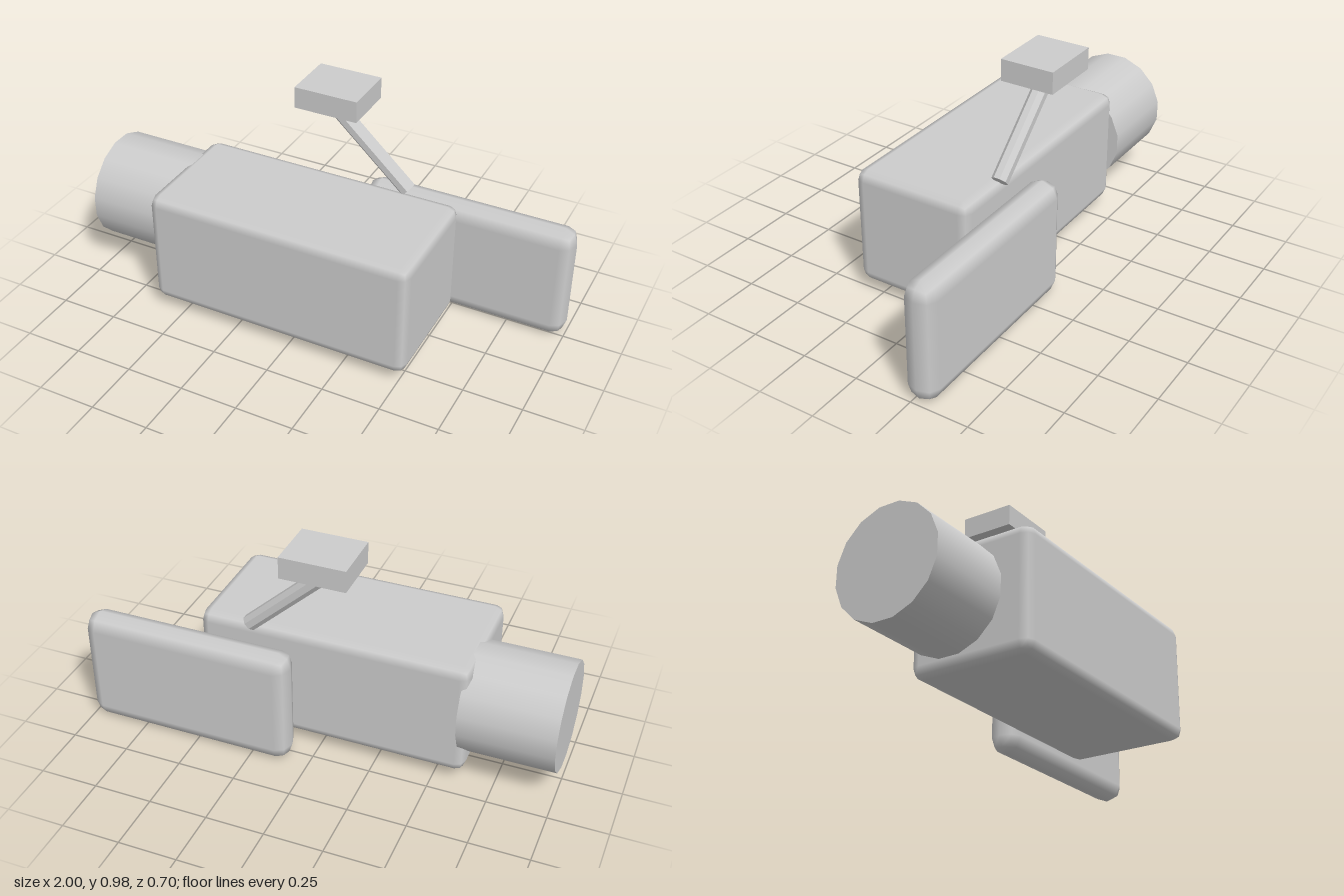
import * as THREE from 'three';
import { RoundedBoxGeometry } from 'three/addons/geometries/RoundedBoxGeometry.js';

// Two-step bevelled box given by its min and max corners and a bevel size per axis.
function bevelledBox(min, max, bevel) {
  const size = max.map((v, i) => (v - min[i]) / bevel[i]);
  const geometry = new RoundedBoxGeometry(size[0], size[1], size[2], 1, 1);
  geometry.scale(...bevel);
  geometry.translate(...max.map((v, i) => (v + min[i]) / 2));
  return geometry;
}

export function createModel() {
  const group = new THREE.Group();
  const grey = new THREE.MeshStandardMaterial({ color: 0xcccccc });
  grey.name = 'grey';

  const add = (name, geometry) => {
    const mesh = new THREE.Mesh(geometry, grey);
    mesh.name = name;
    group.add(mesh);
    return mesh;
  };

  // Main housing
  add('cameraBody', bevelledBox([-0.63, 0.05, -0.187], [0.53, 0.56, 0.348], [0.04, 0.045, 0.045]));

  // Side panel behind the housing
  add('sidePanel', bevelledBox([0.08, 0, -0.348], [1, 0.515, -0.21], [0.055, 0.066, 0.068]));

  // Lens barrel: sixteen smooth sides, lying along x
  const lens = new THREE.CylinderGeometry(0.231, 0.231, 0.4, 16, 1, false, Math.PI / 16);
  lens.rotateZ(Math.PI / 2);
  lens.translate(-0.8, 0.327, -0.003);
  add('lensBarrel', lens);

  // Slanted eight-sided arm with flat facets
  const low = new THREE.Vector3(0.298, 0.563, -0.185);
  const high = new THREE.Vector3(-0.045, 0.88, -0.185);
  const along = high.clone().sub(low);
  const armGeometry = new THREE.CylinderGeometry(0.035, 0.035, along.length(), 8, 1, false, Math.PI / 8).toNonIndexed();
  armGeometry.computeVertexNormals();
  const arm = add('mountArm', armGeometry);
  arm.position.copy(low).add(high).multiplyScalar(0.5);
  arm.rotation.z = Math.atan2(-along.x, along.y);

  // Block on top of the arm
  const block = new THREE.BoxGeometry(0.276, 0.093, 0.232);
  block.translate(-0.027, 0.933, -0.187);
  add('mountBlock', block);

  return group;
}
